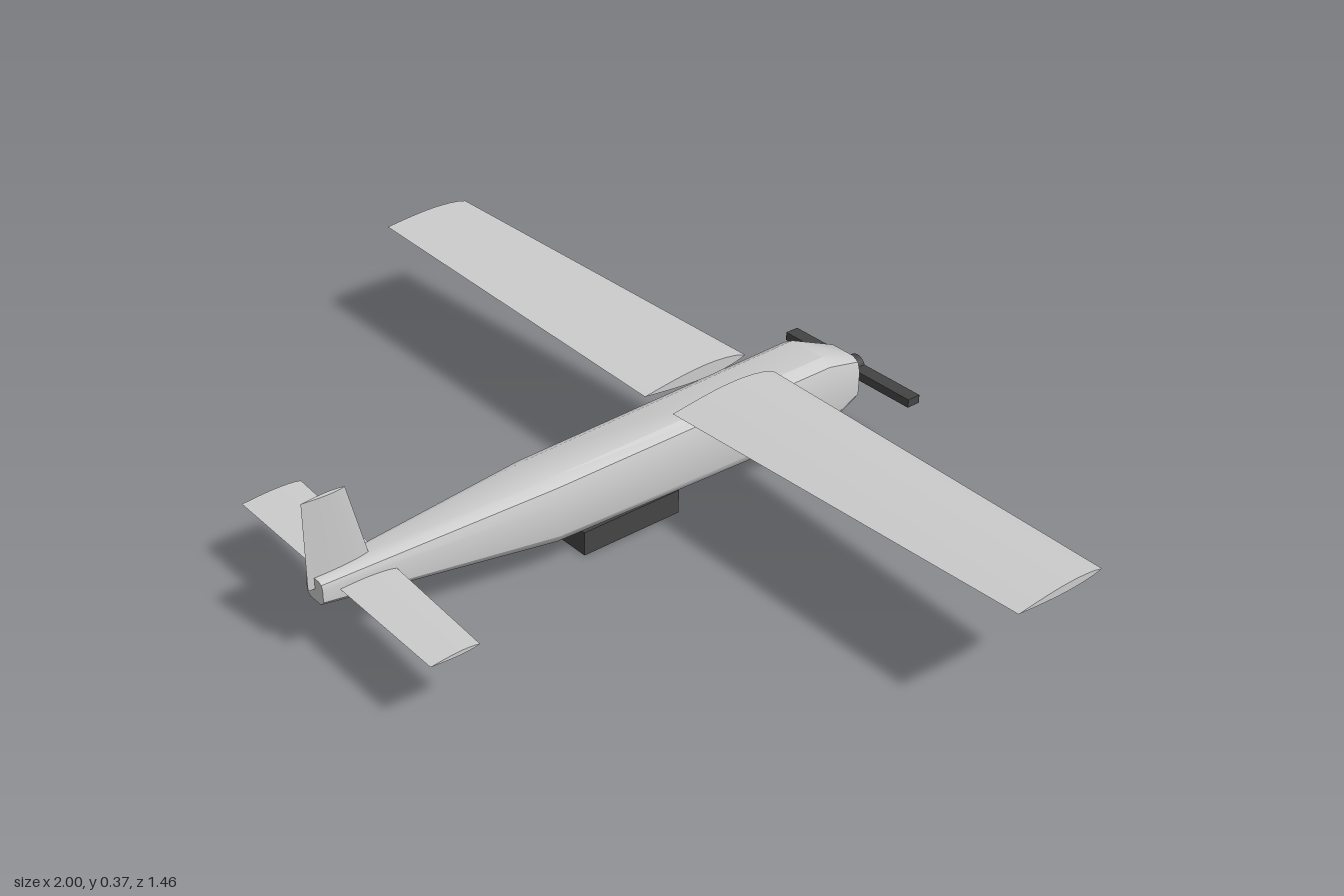
import * as THREE from 'three';
import { toCreasedNormals } from 'three/addons/utils/BufferGeometryUtils.js';

const grey = new THREE.MeshStandardMaterial({ color: 0xcccccc });
const dark = new THREE.MeshStandardMaterial({ color: 0x444444 });

// Skin a list of equal-length rings of [x, y, z] points and cap both ends
function loft(rings, crease = 0.5) {
  const n = rings[0].length, last = (rings.length - 1) * n;
  const p = rings.flat();
  let tris = [];
  for (let r = 0; r < rings.length - 1; r++) {
    for (let i = 0; i < n; i++) {
      const a = r * n + i, b = r * n + (i + 1) % n;
      tris.push([a, b, b + n], [a, b + n, a + n]);
    }
  }
  for (let i = 1; i < n - 1; i++) {
    tris.push([0, i + 1, i], [last, last + i, last + i + 1]);
  }
  // Turn the faces outward when the enclosed volume comes out negative
  const v = p.map(q => new THREE.Vector3(...q));
  const volume = tris.reduce((s, [a, b, c]) => s + v[a].dot(v[b].clone().cross(v[c])), 0);
  if (volume < 0) tris = tris.map(([a, b, c]) => [a, c, b]);
  const g = new THREE.BufferGeometry();
  g.setAttribute('position', new THREE.Float32BufferAttribute(p.flat(), 3));
  g.setIndex(tris.flat());
  return toCreasedNormals(g, crease);
}

// Aerofoil outline as [chord fraction from leading edge, height]
function foil(up, down, steps = 10) {
  const pts = [];
  const h = t => Math.sin(Math.PI * Math.pow(t, 0.75));
  for (let i = 0; i <= steps; i++) pts.push([i / steps, up * h(i / steps)]);
  for (let i = steps - 1; i > 0; i--) pts.push([i / steps, -down * h(i / steps)]);
  return pts;
}

export function createModel() {
  const model = new THREE.Group();
  const add = (name, geometry, material = grey, parent = model) => {
    const m = new THREE.Mesh(geometry, material);
    m.name = name;
    parent.add(m);
    return m;
  };

  // Fuselage: rounded box section, [z, half width, bottom, top]
  const half = [[0.57, 1], [0.88, 0.84], [1, 0.45], [1, -0.6], [0.86, -0.84], [0.6, -1]];
  const section = [...half, ...half.map(([x, y]) => [-x, y]).reverse()];
  const stations = [
    [0.715, 0.029, 0.147, 0.2], [0.18, 0.075, 0.075, 0.229],
    [-0.57, 0.083, 0.06, 0.243], [-0.682, 0.056, 0.09, 0.2],
  ];
  add('fuselage', loft(stations.map(([z, w, lo, hi]) =>
    section.map(([x, y]) => [x * w, (lo + hi) / 2 + y * (hi - lo) / 2, z]))));

  // Wings: tapered leading edge, slight dihedral
  const wingRing = (x, y, lead, up, down) =>
    foil(up, down).map(([t, h]) => [x, y + h, lead + t * (-0.143 - lead)]);
  for (const [name, s] of [['leftWing', 1], ['rightWing', -1]]) {
    add(name, loft([
      wingRing(s * 0.045, 0.259, -0.427, 0.017, 0.015),
      wingRing(s, 0.288, -0.37, 0.01, 0.009),
    ]));
  }

  // Tailplane: a single skewed surface through the tail
  const tailRing = (x, lead, trail) =>
    foil(0.005, 0.004).map(([t, h]) => [x, 0.175 + h, lead + t * (trail - lead)]);
  add('tailplane', loft([tailRing(-0.34, 0.53, 0.67), tailRing(0.34, 0.573, 0.685)]));

  // Upright fin
  const finRing = (y, lead, trail) =>
    foil(0.005, 0.005).map(([t, h]) => [h, y, lead + t * (trail - lead)]);
  add('fin', loft([finRing(0.175, 0.582, 0.73), finRing(0.374, 0.632, 0.73)]));

  // Propeller
  const propeller = new THREE.Group();
  propeller.name = 'propeller';
  propeller.position.set(0, 0.146, -0.712);
  model.add(propeller);
  add('hub', new THREE.CylinderGeometry(0.026, 0.026, 0.036, 16).rotateX(Math.PI / 2), dark, propeller);
  add('blades', new THREE.BoxGeometry(0.392, 0.02, 0.034), dark, propeller);

  // Box slung under the belly
  add('bellyBox', new THREE.BoxGeometry(0.08, 0.057, 0.258), dark).position.set(0, 0.0285, -0.04);

  return model;
}
